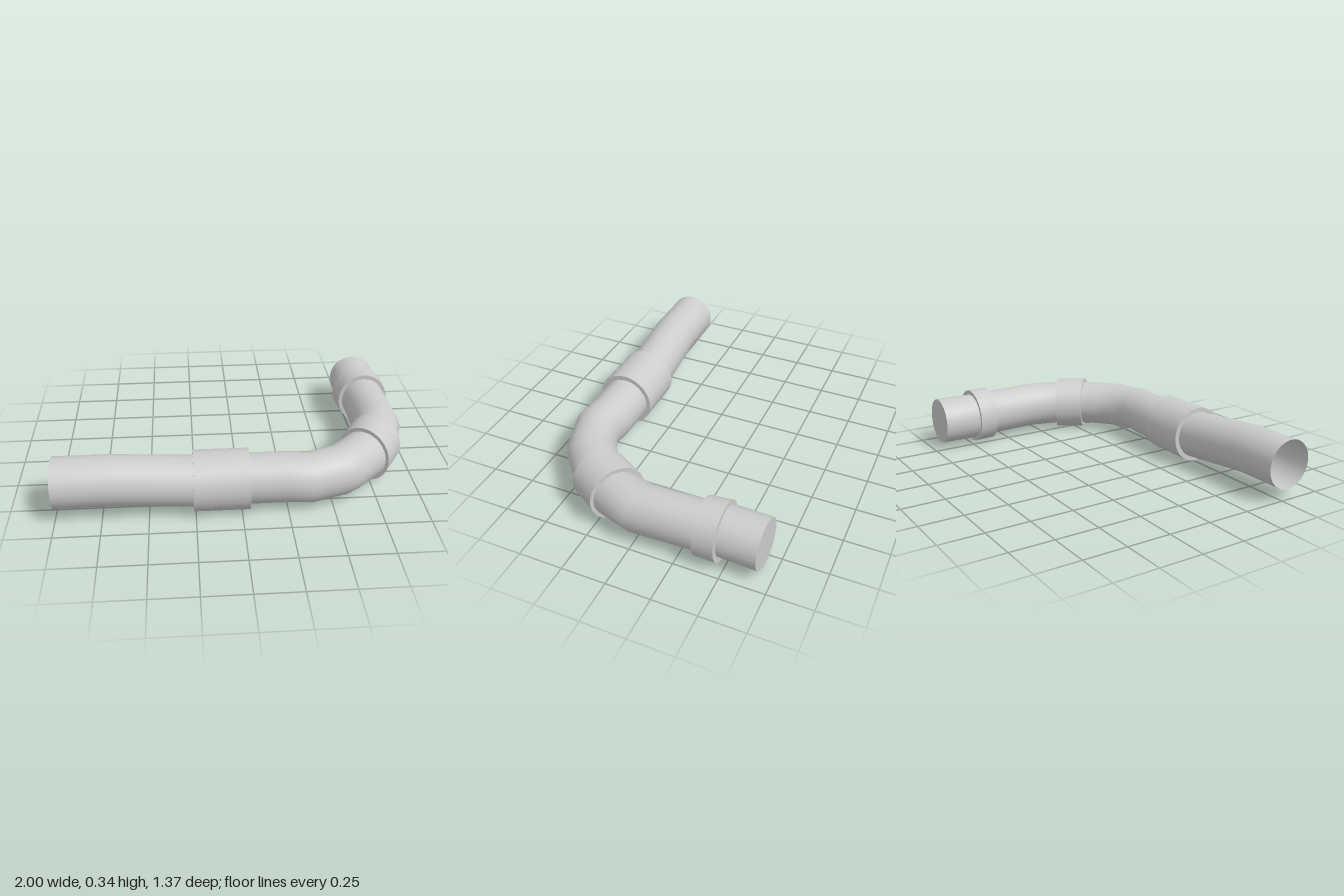
import * as THREE from 'three';

const SIDES = 40;
const material = new THREE.MeshStandardMaterial({ color: 0xcccccc, side: THREE.DoubleSide });

// Each ring: [innerX, innerZ, outerX, outerZ, centreY, halfHeight, scale]
function loft(name, rings) {
  const pos = [], index = [];
  rings.forEach(([xi, zi, xo, zo, y, h, s = 1], i) => {
    for (let j = 0; j < SIDES; j++) {
      const a = (j / SIDES) * Math.PI * 2;
      const c = (Math.cos(a) * s) / 2;
      pos.push((xi + xo) / 2 + c * (xo - xi), y + h * s * Math.sin(a), (zi + zo) / 2 + c * (zo - zi));
      if (i === rings.length - 1) continue;
      const k = (j + 1) % SIDES, p = i * SIDES, q = p + SIDES;
      index.push(p + j, q + j, q + k, p + j, q + k, p + k);
    }
  });
  const geo = new THREE.BufferGeometry();
  geo.setAttribute('position', new THREE.Float32BufferAttribute(pos, 3));
  geo.setIndex(index);
  geo.computeVertexNormals();
  const mesh = new THREE.Mesh(geo, material);
  mesh.name = name;
  return mesh;
}

// Sleeve with flat end faces; repeated rings keep the rims sharp
function collar(name, start, end) {
  const inner = (r) => [...r, 0.8];
  return loft(name, [inner(start), start, start, end, end, inner(end)]);
}

export function createModel() {
  const group = new THREE.Group();
  group.name = 'bentPipe';

  // Pipe: open at the side end, closed at the back end
  const path = [
    [-1, 0.398, -1, 0.673, 0.205],
    [-0.7, 0.398, -0.7, 0.673, 0.205],
    [-0.26, 0.378, -0.26, 0.655, 0.17],
    [0.04, 0.376, 0.04, 0.65, 0.17],
    [0.24, 0.378, 0.24, 0.65, 0.17],
    [0.37, 0.393, 0.38, 0.66, 0.17],
    [0.48, 0.345, 0.6, 0.59, 0.17],
    [0.54, 0.29, 0.66, 0.55, 0.17],
    [0.61, 0.22, 0.815, 0.405, 0.17],
    [0.695, 0.09, 0.92, 0.235, 0.17],
    [0.725, -0.07, 0.985, 0.035, 0.17],
    [0.712, -0.35, 0.972, -0.35, 0.17],
    [0.688, -0.47, 0.965, -0.47, 0.17],
    [0.695, -0.69, 0.975, -0.682, 0.17],
  ].map((r) => [...r, 0.139]);
  group.add(loft('pipe', path));
  const end = path[path.length - 1];
  group.add(loft('pipeEndCap', [end, [...end, 0]]));

  // Collars
  group.add(collar('longCollar',
    [-0.26, 0.35, -0.26, 0.681, 0.17, 0.166], [0.04, 0.351, 0.04, 0.681, 0.17, 0.166]));
  group.add(collar('bendCollar',
    [0.59, 0.21, 0.828, 0.418, 0.17, 0.161], [0.672, 0.07, 0.935, 0.25, 0.17, 0.161]));
  group.add(collar('endCollar',
    [0.69, -0.347, 0.992, -0.347, 0.17, 0.164], [0.671, -0.468, 0.998, -0.468, 0.17, 0.164]));
  return group;
}
